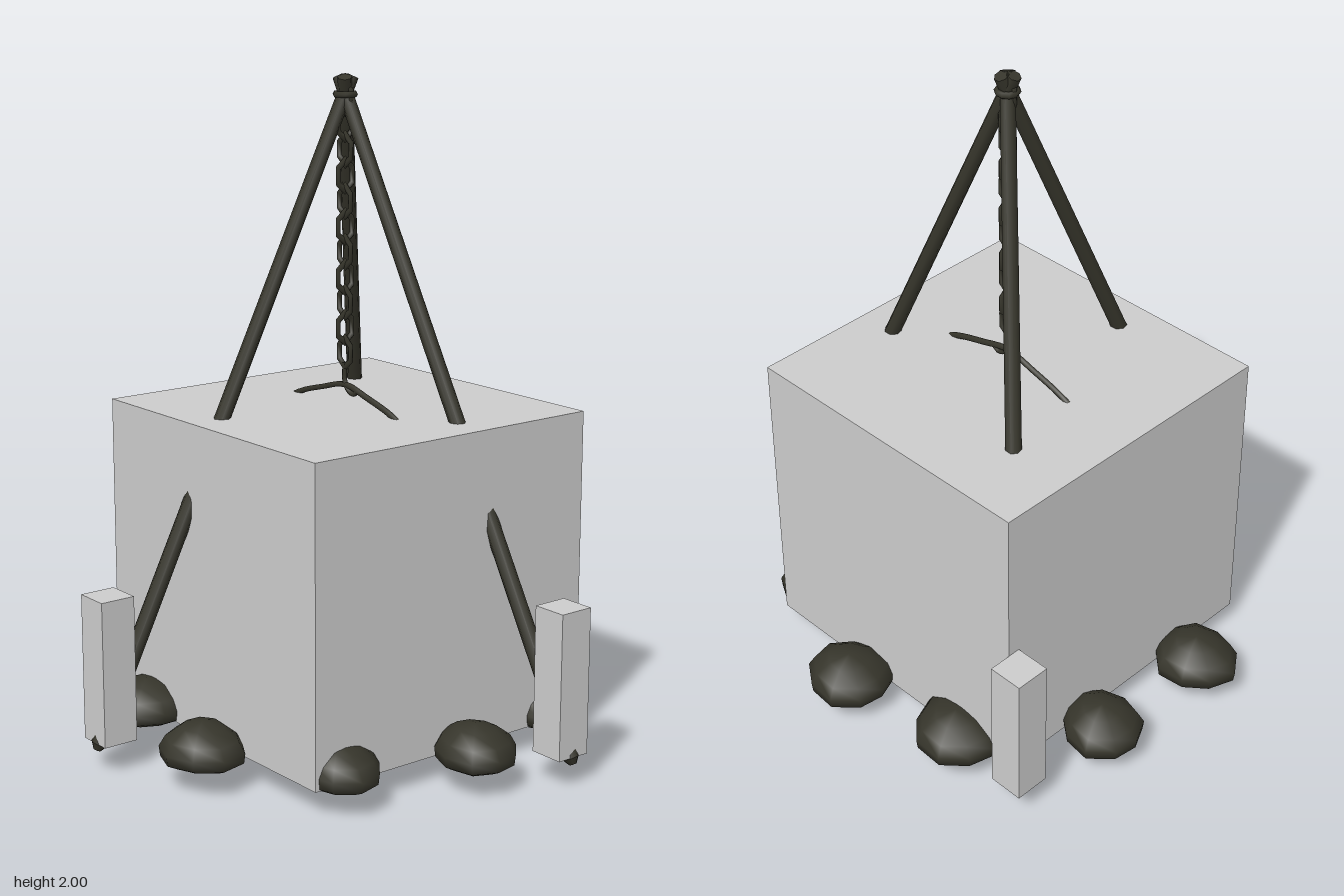
import * as THREE from 'three';
import { mergeVertices } from 'three/addons/utils/BufferGeometryUtils.js';

const CX = -0.03, CZ = -0.05; // centre line of the tripod

export function createModel() {
  const model = new THREE.Group();
  model.name = 'campfireTripod';
  const dark = new THREE.MeshStandardMaterial({ color: 0x36352b });
  dark.name = 'soot brown';
  const grey = new THREE.MeshStandardMaterial({ color: 0xcccccc });
  grey.name = 'light grey';

  const add = (name, geometry, material, x = 0, y = 0, z = 0) => {
    const mesh = new THREE.Mesh(geometry, material);
    mesh.name = name;
    mesh.position.set(x, y, z);
    model.add(mesh);
    return mesh;
  };

  // cylinder between two points
  const pole = (name, a, b, r0, r1, sides) => {
    const dir = b.clone().sub(a);
    const mesh = add(name, new THREE.CylinderGeometry(r1, r0, dir.length(), sides), dark);
    mesh.position.copy(a).add(b).multiplyScalar(0.5);
    mesh.quaternion.setFromUnitVectors(new THREE.Vector3(0, 1, 0), dir.normalize());
    return mesh;
  };

  // rounded lump: lathe profile with a wavy outline and smooth normals
  const lump = (profile, sides, rx, rz, seed, wave) => {
    let g = new THREE.LatheGeometry(profile.map(([r, y]) => new THREE.Vector2(r, y)), sides);
    const p = g.attributes.position;
    for (let i = 0; i < p.count; i++) {
      const x = p.getX(i), z = p.getZ(i), a = Math.atan2(z, x);
      const k = 1 + wave * Math.sin(3 * a + seed) + wave * 0.6 * Math.sin(2 * a + seed * 2.3);
      p.setXYZ(i, x * k * rx, p.getY(i), z * k * rz);
    }
    g.deleteAttribute('uv');
    g.deleteAttribute('normal');
    g = mergeVertices(g, 1e-4);
    g.computeVertexNormals();
    return g;
  };

  // large block
  add('mainBlock', new THREE.BoxGeometry(1, 0.94, 1), grey, CX, 0.55, CZ);

  // tripod legs, crossing near the top, each with a block round its foot
  const cross = new THREE.Vector3(CX, 1.945, CZ);
  const feet = [[0.73, -0.275, 0.69, -0.27], [-0.2, 0.73, -0.2, 0.69], [-0.6, -0.58, -0.585, -0.565]];
  feet.forEach(([x, z, bx, bz]) => {
    const foot = new THREE.Vector3(x, 0.085, z);
    const up = cross.clone().sub(foot).normalize();
    pole('tripodLeg', foot, cross.clone().addScaledVector(up, 0.05), 0.026, 0.022, 7);
    pole('legTip', foot.clone().addScaledVector(up, -0.02), foot, 0.012, 0.026, 7);
    add('footBlock', new THREE.BoxGeometry(0.11, 0.44, 0.11), grey, bx, 0.31, bz);
  });
  const lashing = add('lashing', new THREE.TorusGeometry(0.028, 0.01, 6, 10), dark, CX, 1.94, CZ);
  lashing.rotation.x = Math.PI / 2;

  // chain of alternating six-sided links
  for (let i = 0; i < 11; i++) {
    const g = new THREE.TorusGeometry(0.03, 0.008, 5, 6);
    g.rotateZ(Math.PI / 6);
    g.scale(1, 1.5, 1);
    const link = add('chainLink', g, dark, CX, 1.93 - i * 0.075, CZ);
    if (i % 2) link.rotation.y = Math.PI / 2;
  }

  // hook under the chain
  const V = (x, y, z = 0) => new THREE.Vector3(CX + x, y, CZ + z);
  add('hook', new THREE.TubeGeometry(new THREE.CatmullRomCurve3([
    V(0, 1.15), V(0, 1.09), V(0.02, 1.065), V(0.045, 1.06), V(0.06, 1.075),
  ]), 12, 0.008, 6), dark);

  // pot handle and the pot it carries
  add('potHandle', new THREE.TubeGeometry(new THREE.CatmullRomCurve3([
    V(-0.32, 0.9), V(-0.29, 0.98), V(-0.23, 1.02), V(-0.1, 1.06), V(0, 1.083),
    V(0.1, 1.06), V(0.23, 1.02), V(0.29, 0.98), V(0.32, 0.9),
  ]), 24, 0.009, 6), dark);
  add('pot', new THREE.LatheGeometry([
    [0, 0.42], [0.16, 0.45], [0.28, 0.56], [0.31, 0.7], [0.28, 0.84], [0.31, 0.9],
    [0.29, 0.9], [0.26, 0.84], [0.28, 0.7], [0.24, 0.57], [0, 0.46],
  ].map(([r, y]) => new THREE.Vector2(r, y)), 16), dark, CX, 0, CZ);

  // ash bed
  add('ashBed', lump([
    [0, 0], [0.7, 0.01], [0.9, 0.024], [1, 0.045], [0.88, 0.066], [0.6, 0.08], [0, 0.085],
  ], 16, 0.365, 0.4, 1, 0.02), dark, -0.055, 0.003, -0.07);

  // ring of stones: x, z, radius in x, radius in z
  const stoneProfile = [
    [0, 0.07], [0.7, 0.068], [0.97, 0.085], [1, 0.115], [0.85, 0.148], [0.5, 0.18], [0, 0.194],
  ];
  [
    [-0.33, -0.57, 0.14, 0.125], [0.07, -0.635, 0.135, 0.125], [0.435, -0.445, 0.125, 0.11],
    [0.565, -0.055, 0.135, 0.115], [0.435, 0.34, 0.13, 0.115], [0.07, 0.55, 0.135, 0.125],
    [-0.335, 0.475, 0.14, 0.125], [-0.63, 0.165, 0.13, 0.125], [-0.62, -0.25, 0.13, 0.12],
  ].forEach(([x, z, rx, rz], i) =>
    add('fireStone', lump(stoneProfile, 9, rx, rz, i * 1.7, 0.05), dark, x, 0, z));

  return model;
}
